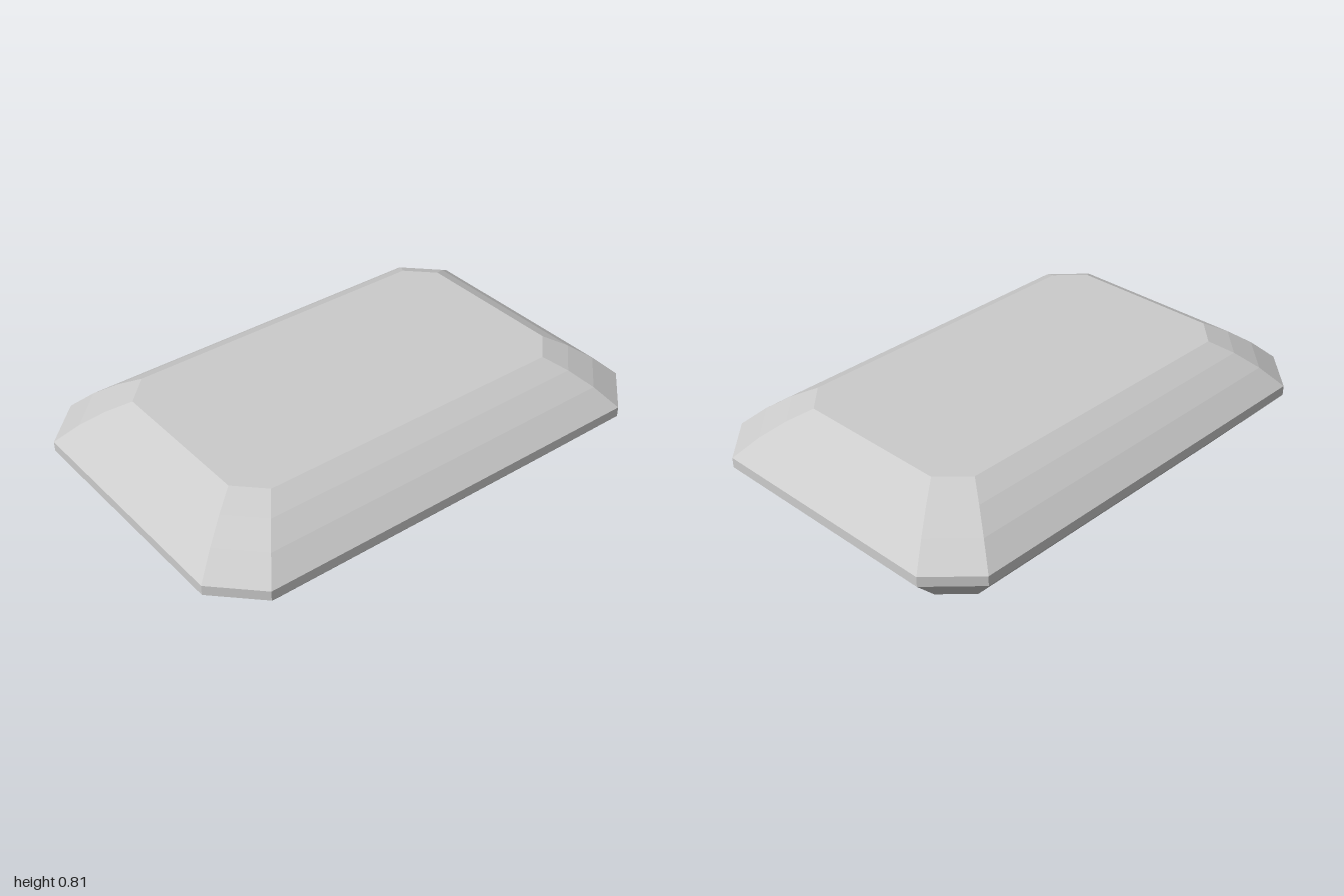
import * as THREE from 'three';

const KEEL = 1 / 3; // half length of the ridge along the bottom
const CUT = 0.25;   // corner cut as a share of the half width

// Eight-cornered outline: half width w at height y, ordered from +x towards +z
function ring([w, y]) {
  const l = w + KEEL, c = w * CUT;
  return [
    [w, l - c], [w - c, l], [c - w, l], [-w, l - c],
    [-w, c - l], [c - w, -l], [w - c, -l], [w, c - l],
  ].map(([x, z]) => new THREE.Vector3(x, y, z));
}

// Flat facets between successive outlines, listed from bottom to top
function facets(name, profile, capTop = false) {
  const pts = [];
  const tri = (a, b, c) => {
    const area = new THREE.Triangle(a, b, c).getArea();
    if (area > 1e-6) pts.push(a, b, c);
  };
  const rings = profile.map(ring);
  for (let r = 0; r < rings.length - 1; r++) {
    const lo = rings[r], hi = rings[r + 1];
    for (let i = 0; i < 8; i++) {
      const j = (i + 1) % 8;
      tri(lo[i], hi[i], hi[j]);
      tri(lo[i], hi[j], lo[j]);
    }
  }
  if (capTop) {
    const top = rings[rings.length - 1];
    for (let i = 1; i < 7; i++) tri(top[0], top[i + 1], top[i]);
  }
  const geometry = new THREE.BufferGeometry().setFromPoints(pts);
  geometry.computeVertexNormals();
  const material = new THREE.MeshStandardMaterial({ color: 0xcccccc, flatShading: true });
  const mesh = new THREE.Mesh(geometry, material);
  mesh.name = name;
  return mesh;
}

export function createModel() {
  const gem = new THREE.Group();
  gem.name = 'stepCutGem';
  const W = 2 / 3;
  gem.add(
    // Lower steps rising from the keel
    facets('pavilion', [[0, 0], [W / 3, 0.14], [W * 2 / 3, 0.328], [W, 0.589]]),
    // Narrow upright band at the widest point
    facets('girdle', [[W, 0.589], [W, 0.63]]),
    // Upper steps closed by the flat table
    facets('crown', [[W, 0.63], [W * 0.875, 0.708], [W * 0.75, 0.768], [W * 0.625, 0.813]], true),
  );
  return gem;
}
